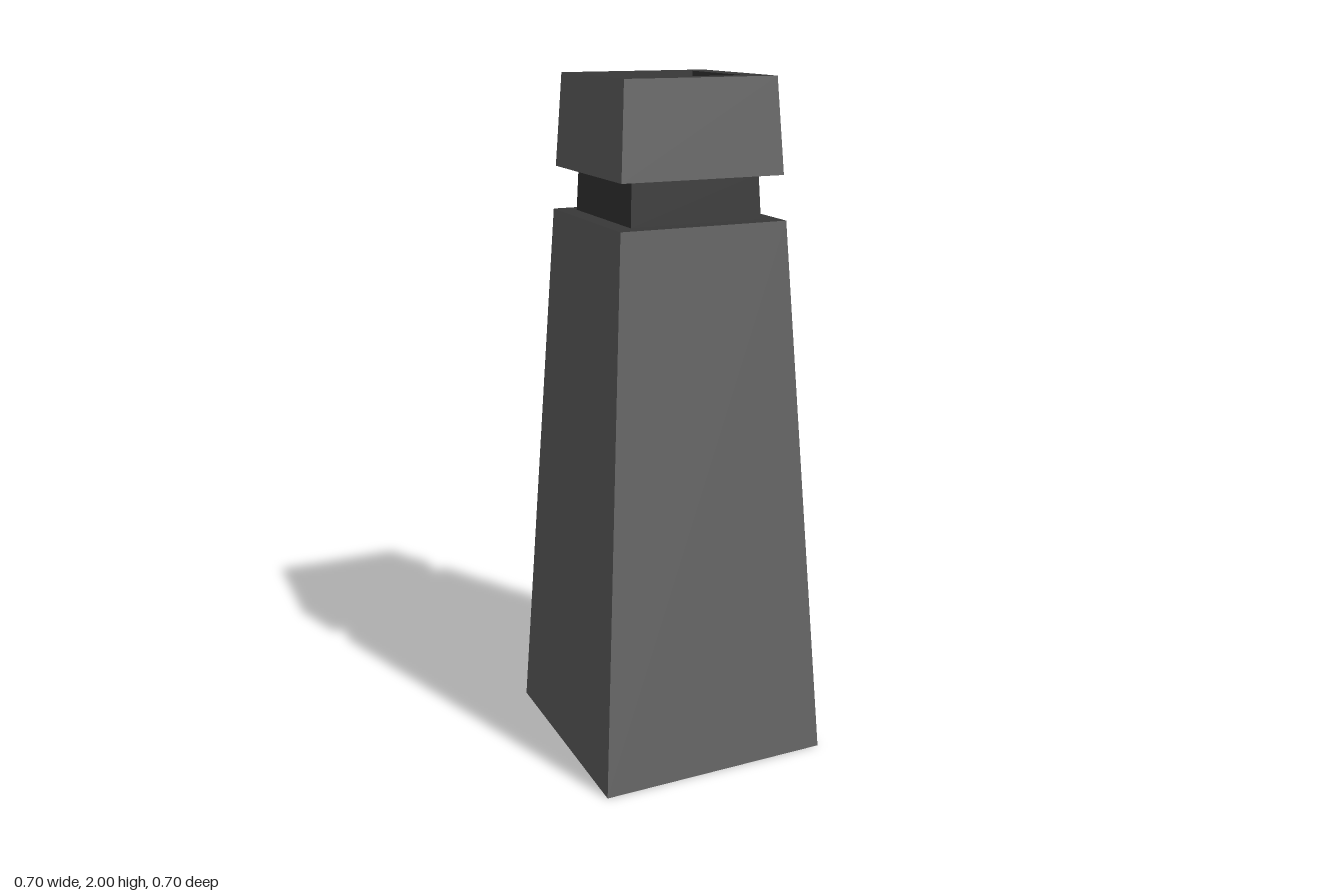
import * as THREE from 'three';

const stone = new THREE.MeshStandardMaterial({ color: 0x666666 });
stone.name = 'grey stone';
const dark = new THREE.MeshStandardMaterial({ color: 0x383838 });
dark.name = 'dark stone';

// Box with its upper and lower edges set to different half widths.
// Face groups run: +x, -x, +y, -y, +z, -z.
function taperedBlock(name, y0, y1, bottomHalf, topHalf, materials) {
  const geometry = new THREE.BoxGeometry(2, y1 - y0, 2).toNonIndexed();
  const p = geometry.attributes.position;
  for (let i = 0; i < p.count; i++) {
    const half = p.getY(i) > 0 ? topHalf : bottomHalf;
    p.setXYZ(i, p.getX(i) * half, p.getY(i) + (y0 + y1) / 2, p.getZ(i) * half);
  }
  geometry.computeVertexNormals();
  const mesh = new THREE.Mesh(geometry, materials);
  mesh.name = name;
  return mesh;
}

// Flat square ring facing up (dir 1) or down (dir -1).
function squareRing(name, y, outer, inner, dir) {
  const square = (Shape, h) => new Shape([
    new THREE.Vector2(-h, -h), new THREE.Vector2(h, -h),
    new THREE.Vector2(h, h), new THREE.Vector2(-h, h),
  ]);
  const shape = square(THREE.Shape, outer);
  shape.holes.push(square(THREE.Path, inner));
  const geometry = new THREE.ShapeGeometry(shape);
  geometry.rotateX(-dir * Math.PI / 2);
  const mesh = new THREE.Mesh(geometry, dark);
  mesh.name = name;
  mesh.position.y = y;
  return mesh;
}

// Four flat walls around a square, facing outward (dir 1) or inward (dir -1).
function squareWalls(name, y0, y1, bottomHalf, topHalf, dir, material) {
  const group = new THREE.Group();
  group.name = name;
  for (let i = 0; i < 4; i++) {
    const geometry = new THREE.PlaneGeometry(2, y1 - y0);
    const p = geometry.attributes.position;
    for (let k = 0; k < p.count; k++) {
      const half = p.getY(k) > 0 ? topHalf : bottomHalf;
      p.setXYZ(k, p.getX(k) * half, p.getY(k) + (y0 + y1) / 2, dir * half);
    }
    geometry.computeVertexNormals();
    geometry.rotateY(i * Math.PI / 2);
    const wall = new THREE.Mesh(geometry, material);
    wall.name = name + 'Side';
    group.add(wall);
  }
  return group;
}

export function createModel() {
  const model = new THREE.Group();
  model.name = 'taperedPillar';
  const rim = 0.226, hole = 0.157, neck = 0.195;
  const capBottom = 1.735, floorY = 1.735;

  // Tall body with a dark ledge on top
  model.add(taperedBlock('body', 0, 1.61, 0.35, 0.25,
    [stone, stone, dark, stone, stone, stone]));

  // Recessed neck
  model.add(squareWalls('neck', 1.61, capBottom, 0.198, 0.192, 1, dark));

  // Hollow cap
  model.add(squareWalls('cap', capBottom, 2, 0.243, rim, 1, stone));
  model.add(squareRing('capUnderside', capBottom, 0.243, neck - 0.003, -1));
  model.add(squareRing('capRim', 2, rim, hole, 1));

  // Square opening in the cap
  model.add(squareWalls('opening', floorY, 2, hole, hole, -1, dark));
  const floor = new THREE.Mesh(new THREE.PlaneGeometry(hole * 2, hole * 2), dark);
  floor.name = 'openingFloor';
  floor.rotation.x = -Math.PI / 2;
  floor.position.y = floorY;
  model.add(floor);

  return model;
}
